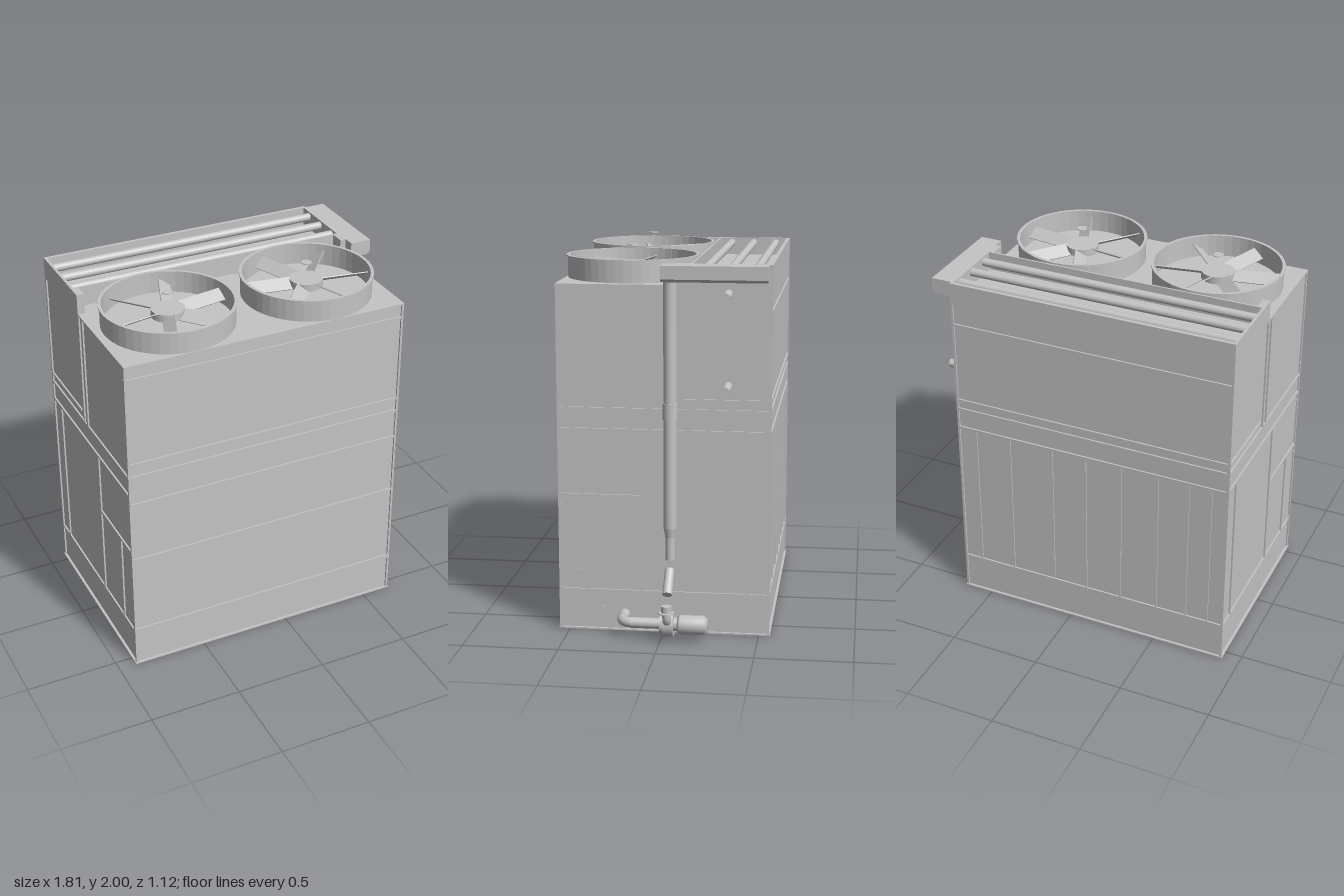
import * as THREE from 'three';

export function createModel() {
  const root = new THREE.Group();
  root.name = 'coolingUnit';
  const grey = new THREE.MeshStandardMaterial({ color: 0xc4c4c4, side: THREE.DoubleSide });
  grey.name = 'galvanisedGrey';

  const add = (name, geo, parent = root) => {
    const m = new THREE.Mesh(geo, grey);
    m.name = name;
    parent.add(m);
    return m;
  };
  // Box given by its extents
  const box = (name, x0, x1, y0, y1, z0, z1, parent = root) => {
    const m = add(name, new THREE.BoxGeometry(x1 - x0, y1 - y0, z1 - z0), parent);
    m.position.set((x0 + x1) / 2, (y0 + y1) / 2, (z0 + z1) / 2);
    return m;
  };
  // Round bar between two points
  const bar = (name, a, b, r0, r1 = r0, seg = 24, parent = root) => {
    const p = new THREE.Vector3(...a), d = new THREE.Vector3(...b).sub(p);
    const m = add(name, new THREE.CylinderGeometry(r1, r0, d.length(), seg), parent);
    m.position.copy(p).addScaledVector(d, 0.5);
    m.quaternion.setFromUnitVectors(new THREE.Vector3(0, 1, 0), d.normalize());
    return m;
  };

  const L = -0.9, R = 0.662, B = -0.555, F = 0.555, t = 0.009;
  const rib = 0.006; // half width of a seam rib

  // Casing cores, with panels recessed behind the ribs
  box('basin', L + t, R - t, 0, 0.215, B + t, F - t);
  box('lowerCasing', L + t, R - t, 0.215, 1.19, B + t, F - t);
  box('upperCasing', L + t, R - t, 1.19, 1.83, -0.14, F - t);
  box('rearCasing', L + t, R - t, 1.19, 1.84, B + t, -0.14);
  box('baseFlange', L - 0.005, R + 0.004, 0, 0.008, B - 0.004, F + 0.004);
  box('fanDeck', L, R, 1.822, 1.832, -0.14, F + 0.003);

  // Seams running right round the casing
  for (const y of [0.215, 1.19]) box('seamBand', L, R, y - rib, y + rib, B, F);
  // Front seams
  for (const y of [0.225, 0.68, 1.025, 1.265, 1.75])
    box('frontRib', L, R, y - rib, y + rib, F - 0.02, F);
  // Rear seams and vertical joints
  for (const y of [1.075, 1.245, 1.7])
    box('rearRib', L, R, y - rib, y + rib, B, B + 0.02);
  for (const f of [0.07, 0.2, 0.36, 0.485, 0.615, 0.75, 0.86, 0.94]) {
    const x = R + (L - R) * f;
    box('rearJoint', x - 0.004, x + 0.004, 0.215, 1.075, B + 0.002, B + 0.02);
  }
  // Corner posts
  for (const x of [L, R - 0.012])
    for (const [z, top] of [[B, 1.94], [F - 0.012, 1.83]])
      box('cornerPost', x, x + 0.012, 0, top, z, z + 0.012);

  // Side panel frames, the same on both sides
  for (const right of [false, true]) {
    const x0 = right ? R - 0.015 : L, x1 = x0 + 0.015;
    const g = new THREE.Group();
    g.name = right ? 'sideFrameA' : 'sideFrameB';
    root.add(g);
    const horizontal = (y, z0, z1) => box('sideRib', x0, x1, y - rib, y + rib, z0, z1, g);
    const vertical = (z, y0, y1) => box('sidePost', x0, x1, y0, y1, z - rib, z + rib, g);
    horizontal(1.08, B, F);
    horizontal(0.73, 0.12, F);
    horizontal(1.243, B, -0.1);
    vertical(0.12, 0.215, 1.08);
    vertical(-0.437, 0.215, 1.08);
    vertical(0.4, 0.215, 0.73);
    const edge = right ? -0.1 : -0.06;
    vertical(edge, 1.19, 1.84);
    vertical(-0.01, 1.19, 1.83);
    // Raised end wall of the rear trough
    box('troughEnd', x0, x1, 1.82, 1.94, B, -0.06, g);
    box('troughEndPost', right ? R - 0.04 : L, right ? R : L + 0.04, 1.82, 1.94, -0.145, -0.06, g);
  }

  // Rear trough with spray pipes
  box('troughBack', L, R, 1.82, 1.94, B, B + 0.02);
  box('troughFront', L, R, 1.82, 1.94, -0.15, -0.14);
  for (const z of [-0.47, -0.34, -0.21])
    bar('sprayPipe', [L + 0.015, 1.91, z], [R - 0.015, 1.91, z], 0.022);

  // Fans with counter-pitched blades
  const ringProfile = [[0.335, 1.83], [0.345, 1.83], [0.345, 1.942], [0.352, 1.942],
    [0.352, 1.95], [0.335, 1.95], [0.335, 1.83]].map(p => new THREE.Vector2(...p));
  for (const [cx, start, pitch] of [[-0.515, -10, 0.6], [0.27, 9, -0.6]]) {
    const fan = new THREE.Group();
    fan.name = 'fan';
    fan.position.set(cx, 0, 0.21);
    root.add(fan);
    const ring = new THREE.LatheGeometry(ringProfile, 48).toNonIndexed();
    ring.computeVertexNormals();
    add('fanRing', ring, fan);
    bar('fanHub', [0, 1.87, 0], [0, 1.91, 0], 0.088, 0.088, 32, fan);
    bar('shaftCap', [0, 1.996, 0], [0, 2, 0], 0.028, 0.028, 24, fan);
    for (let i = 0; i < 6; i++) {
      const arm = new THREE.Group();
      arm.name = 'fanBladeArm';
      arm.rotation.y = -THREE.MathUtils.degToRad(start + i * 60);
      fan.add(arm);
      const blade = add('fanBlade', new THREE.BoxGeometry(0.255, 0.005, 0.075), arm);
      blade.position.set(0.205, 1.89, 0);
      blade.rotation.x = pitch;
    }
  }

  // Header box with a chamfered lower outer edge
  const header = new THREE.Shape([[0.655, 1.94], [0.655, 1.857], [0.755, 1.857],
    [0.772, 1.872], [0.772, 1.94]].map(p => new THREE.Vector2(...p)));
  add('waterHeader', new THREE.ExtrudeGeometry(header, { depth: 0.54, bevelEnabled: false }))
    .position.z = -0.538;

  // Coil connections
  for (const y of [1.79, 1.32])
    bar('coilNozzle', [R - 0.02, y, -0.33], [0.815, y, -0.33], 0.023);

  // Riser pipe
  const pz = -0.04, px = 0.705;
  bar('riserPipe', [px, 0.58, pz], [px, 1.86, pz], 0.034);
  bar('riserCoupling', [px, 1.15, pz], [px, 1.235, pz], 0.039);
  bar('riserReducer', [px, 0.53, pz], [px, 0.58, pz], 0.025, 0.034);
  bar('riserTail', [px, 0.41, pz], [px, 0.53, pz], 0.025);
  bar('slantedPipe', [0.727, 0.362, pz], [0.828, 0.258, pz], 0.025);

  // Pump, motor and discharge
  bar('pumpVolute', [0.79, 0.088, -0.07], [0.79, 0.088, -0.015], 0.064, 0.064, 32);
  bar('pumpFlange', [0.79, 0.09, -0.015], [0.79, 0.09, 0.002], 0.052, 0.052, 32);
  bar('pumpNeck', [0.795, 0.09, -0.1], [0.795, 0.09, -0.07], 0.035);
  const motorProfile = [[0, 0], [0.04, 0], [0.05, 0.015], [0.05, 0.135], [0.036, 0.155], [0, 0.155]];
  const motor = add('pumpMotor', new THREE.LatheGeometry(motorProfile.map(p => new THREE.Vector2(...p)), 32));
  motor.rotation.x = -Math.PI / 2;
  motor.position.set(0.797, 0.09, -0.09);
  const discharge = new THREE.CatmullRomCurve3([[0.81, 0.11, pz], [0.85, 0.125, pz], [0.858, 0.17, pz]]
    .map(p => new THREE.Vector3(...p)));
  add('dischargeElbow', new THREE.TubeGeometry(discharge, 12, 0.022, 16));
  bar('dischargeStub', [0.858, 0.165, pz], [0.858, 0.207, pz], 0.027);
  bar('dischargeCollar', [0.865, 0.168, pz], [0.865, 0.174, pz], 0.039);

  // Suction line into the basin
  bar('suctionPipe', [0.788, 0.088, 0], [0.788, 0.088, 0.155], 0.028);
  const elbow = new THREE.QuadraticBezierCurve3(new THREE.Vector3(0.788, 0.088, 0.15),
    new THREE.Vector3(0.785, 0.088, 0.208), new THREE.Vector3(0.73, 0.088, 0.208));
  add('suctionElbow', new THREE.TubeGeometry(elbow, 12, 0.026, 20));
  bar('suctionInlet', [R - 0.02, 0.088, 0.208], [0.735, 0.088, 0.208], 0.028);

  // Small ports on the pump side
  for (const [z, y, r] of [[0.325, 0.11, 0.018], [0.52, 0.035, 0.011], [0.455, 0.32, 0.009]])
    bar('port', [R - 0.012, y, z], [R - 0.003, y, z], r, r, 16);

  return root;
}
